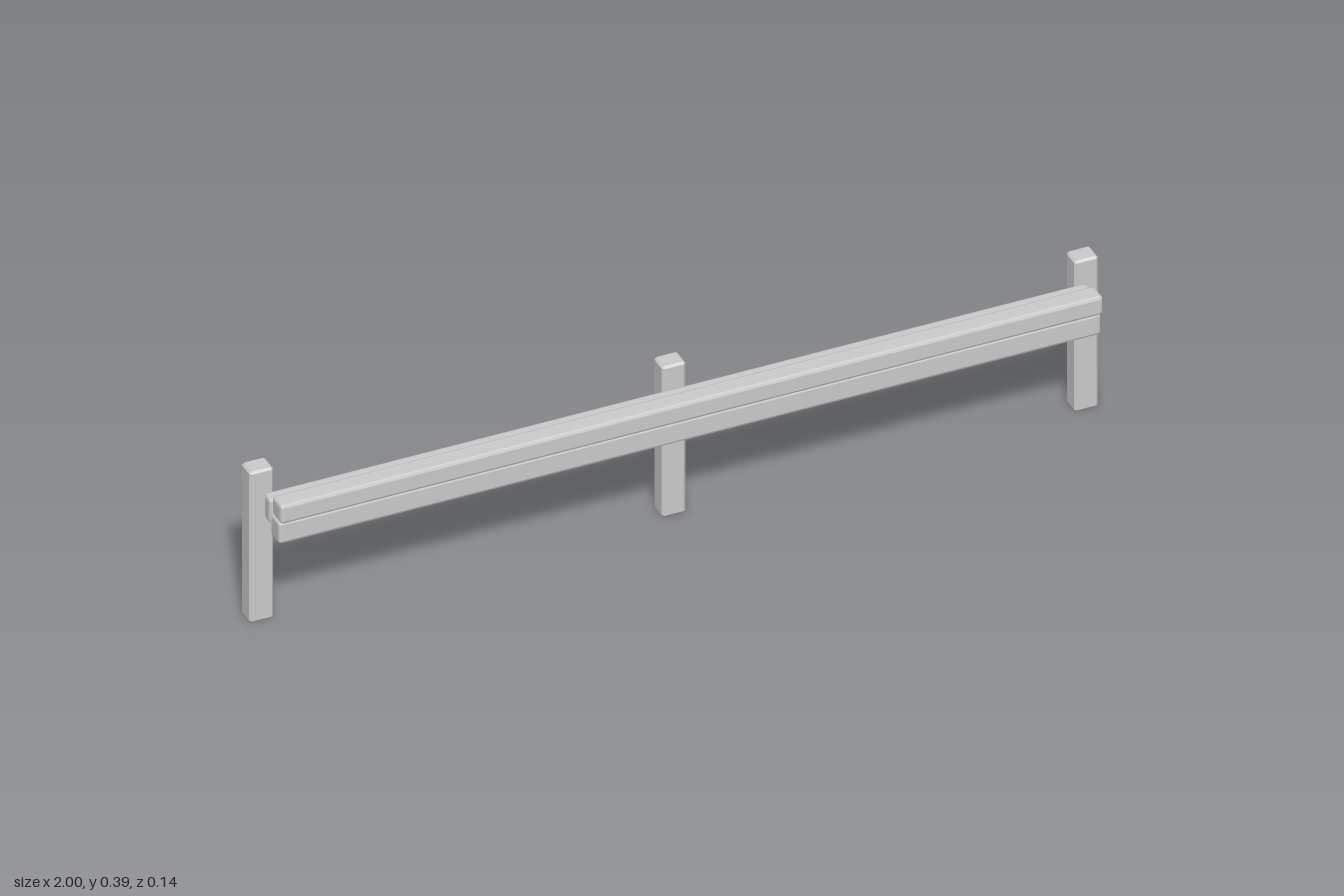
import * as THREE from 'three';

const material = new THREE.MeshStandardMaterial({ color: 0xcccccc, flatShading: true, side: THREE.DoubleSide });

// Rectangle with eased corners, counter-clockwise
function section(w, h, r, steps) {
  const pts = [];
  [[1, 1], [-1, 1], [-1, -1], [1, -1]].forEach(([sx, sy], q) => {
    for (let i = 0; i <= steps; i++) {
      const a = (q + i / steps) * Math.PI / 2;
      pts.push([sx * (w / 2 - r) + r * Math.cos(a), sy * (h / 2 - r) + r * Math.sin(a)]);
    }
  });
  return pts;
}

// Timber along z from 0 to length, with eased edges; the start may be left square and open
function timber(w, h, length, c, steps, openStart = false) {
  const ease = steps > 1 ? [[0, c], [0.3 * c, 0.3 * c], [c, 0]] : [[0, c], [c, 0]];
  const stations = openStart ? [[0, 0]] : ease.map(([z, inset]) => [z, inset]);
  [...ease].reverse().forEach(([z, inset]) => stations.push([length - z, inset]));

  const n = 4 * (steps + 1);
  const pos = [];
  const index = [];
  for (const [z, inset] of stations) {
    const ring = section(w - 2 * inset, h - 2 * inset, Math.max(c - inset, 0.001), steps);
    for (const [x, y] of ring) pos.push(x, y, z);
  }
  for (let i = 0; i < stations.length - 1; i++) {
    for (let j = 0; j < n; j++) {
      const a = i * n + j, b = i * n + (j + 1) % n;
      index.push(a, b, b + n, a, b + n, a + n);
    }
  }
  const last = (stations.length - 1) * n;
  for (let j = 1; j < n - 1; j++) {
    index.push(last, last + j, last + j + 1);
    if (!openStart) index.push(0, j + 1, j);
  }
  const g = new THREE.BufferGeometry();
  g.setAttribute('position', new THREE.Float32BufferAttribute(pos, 3));
  g.setIndex(index);
  const flat = g.toNonIndexed();
  flat.computeVertexNormals();
  return flat;
}

export function createModel() {
  const model = new THREE.Group();
  model.name = 'railFence';

  // Three upright posts
  const postGeometry = timber(0.056, 0.048, 0.388, 0.005, 1, true).rotateX(-Math.PI / 2);
  [['rightPost', -0.972], ['middlePost', 0], ['leftPost', 0.972]].forEach(([name, x]) => {
    const post = new THREE.Mesh(postGeometry, material);
    post.name = name;
    post.position.set(x, 0, -0.046);
    model.add(post);
  });

  // Long rails: name, depth, height, centre y, centre z
  const length = 1.938;
  [
    ['backRail', 0.034, 0.062, 0.299, -0.004],
    ['lowerFrontRail', 0.048, 0.056, 0.272, 0.037],
    ['upperFrontRail', 0.048, 0.048, 0.326, 0.047],
  ].forEach(([name, depth, height, y, z]) => {
    const rail = new THREE.Mesh(timber(depth, height, length, 0.007, 2).rotateY(Math.PI / 2), material);
    rail.name = name;
    rail.position.set(-length / 2, y, z);
    model.add(rail);
  });

  return model;
}
